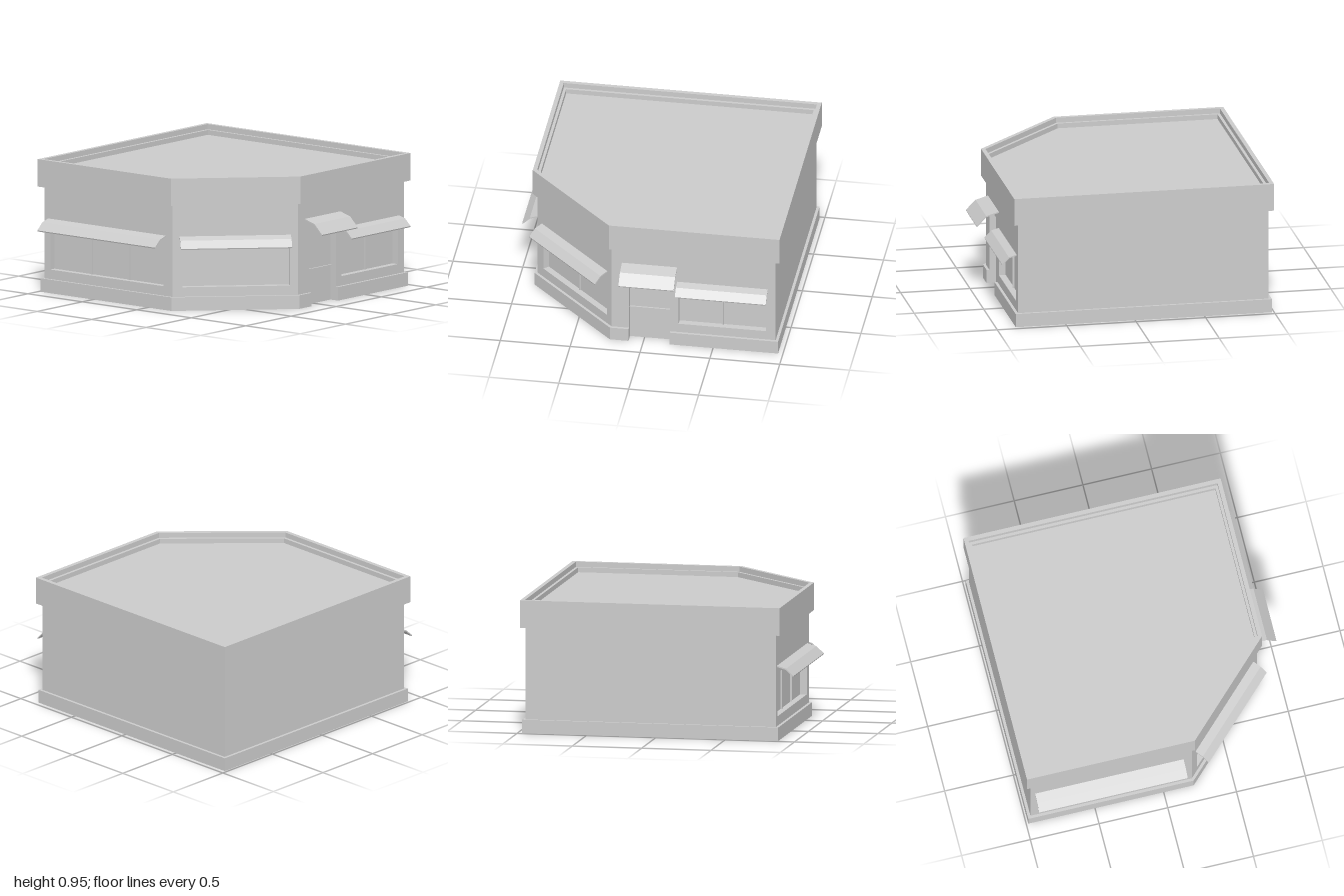
import * as THREE from 'three';

const material = new THREE.MeshStandardMaterial({ color: 0xcccccc });
const RECESS = 0.05;

function add(parent, name, geometry) {
  const mesh = new THREE.Mesh(geometry, material);
  mesh.name = name;
  parent.add(mesh);
  return mesh;
}

const toPoints = (list) => list.map(([x, y]) => new THREE.Vector2(x, y));

// Floor plan with the front right corner cut off, as [x, z]; grow moves every side outwards
function plan(grow) {
  const x0 = -0.86 - grow, x1 = 0.945 + grow, z0 = -0.965 - grow, z1 = 0.84 + grow;
  const cut = 0.63 + grow * (2 - Math.SQRT2);
  return [[x0, z0], [x1, z0], [x1, z1], [x0 + cut, z1], [x0, z1 - cut]];
}

// Horizontal slab or ring of a plan between two heights
function slab(parent, name, outline, y0, y1, inner) {
  const shape = new THREE.Shape(toPoints(outline));
  if (inner) shape.holes.push(new THREE.Path(toPoints(inner)));
  const geometry = new THREE.ExtrudeGeometry(shape, { depth: y1 - y0, bevelEnabled: false });
  geometry.rotateX(Math.PI / 2).translate(0, y1, 0);
  return add(parent, name, geometry);
}

function box(parent, name, x0, x1, y0, y1, z0, z1) {
  const geometry = new THREE.BoxGeometry(x1 - x0, y1 - y0, z1 - z0);
  return add(parent, name, geometry.translate((x0 + x1) / 2, (y0 + y1) / 2, (z0 + z1) / 2));
}

// Bent sheet awning; profile gives [distance from wall, height]
function awning(parent, name, x0, x1, profile) {
  const under = profile.map(([z, y]) => [z - 0.003, y - 0.008]).reverse();
  const shape = new THREE.Shape(toPoints([...profile, ...under]));
  const geometry = new THREE.ExtrudeGeometry(shape, { depth: x1 - x0, bevelEnabled: false });
  add(parent, name, geometry.rotateY(-Math.PI / 2).translate(x1, 0, 0));
}

// Recessed pane with thin glazing bars
function glazing(parent, { x0, x1, y0, y1, panes }) {
  box(parent, 'windowPane', x0 - 0.01, x1 + 0.01, y0 - 0.01, y1 + 0.01, -RECESS - 0.02, -RECESS + 0.002);
  for (let i = 1; i < panes; i++) {
    const x = x0 + (x1 - x0) * i / panes;
    box(parent, 'glazingBar', x - 0.004, x + 0.004, y0, y1, -RECESS, -RECESS + 0.014);
  }
}

// Wall panel in its own frame: x along the wall, z outwards
function wall(parent, name, x, z, angle, length, window, door) {
  const group = new THREE.Group();
  group.name = name;
  group.position.set(x, 0, z);
  group.rotation.y = angle;
  parent.add(group);
  const h = length / 2, bottom = 0.08, top = 0.78;
  const outline = [[-h, bottom]];
  if (door) outline.push([door.x0, bottom], [door.x0, door.y1], [door.x1, door.y1], [door.x1, bottom]);
  outline.push([h, bottom], [h, top], [-h, top]);
  const shape = new THREE.Shape(toPoints(outline));
  if (window) {
    const { x0, x1, y0, y1 } = window;
    shape.holes.push(new THREE.Path(toPoints([[x0, y0], [x0, y1], [x1, y1], [x1, y0]])));
    glazing(group, window);
  }
  const geometry = new THREE.ExtrudeGeometry(shape, { depth: RECESS, bevelEnabled: false });
  add(group, name + 'Panel', geometry.translate(0, 0, -RECESS));
  return group;
}

export function createModel() {
  const model = new THREE.Group();
  model.name = 'cornerShop';

  // Plinth, interrupted at the doorway
  const base = plan(0.02);
  const doorStep = 0.84 - RECESS;
  base.splice(3, 0, [0.19, 0.86], [0.19, doorStep], [-0.105, doorStep], [-0.105, 0.86]);
  slab(model, 'plinth', base, 0, 0.097);

  // Plain walls
  wall(model, 'backWall', 0.0425, -0.965, Math.PI, 1.805);
  wall(model, 'leftWall', 0.945, -0.0625, Math.PI / 2, 1.805);

  // Front wall with door and window
  const door = { x0: -0.4625, x1: -0.1675, y1: 0.56 };
  const front = wall(model, 'frontWall', 0.3575, 0.84, 0, 1.175,
    { x0: -0.1075, x1: 0.5175, y0: 0.165, y1: 0.475, panes: 2 }, door);
  box(front, 'door', door.x0 - 0.01, door.x1 + 0.01, 0, door.y1 + 0.01, -RECESS - 0.02, -RECESS + 0.002);
  box(front, 'doorRail', door.x0, door.x1, 0.246, 0.254, -RECESS, -RECESS + 0.014);
  awning(front, 'doorAwning', -0.5125, -0.1175, [[0, 0.632], [0.09, 0.605], [0.16, 0.535]]);
  awning(front, 'frontAwning', -0.1175, 0.5325, [[0, 0.513], [0.055, 0.497], [0.105, 0.448]]);

  // Angled corner wall and side wall, each with a window under an awning
  const sideProfile = [[0, 0.53], [0.065, 0.51], [0.12, 0.46]];
  const corner = wall(model, 'cornerWall', -0.545, 0.525, -Math.PI / 4, 0.63 * Math.SQRT2,
    { x0: -0.375, x1: 0.389, y0: 0.165, y1: 0.475, panes: 2 });
  awning(corner, 'cornerAwning', -0.395, 0.395, sideProfile.map(([z, y]) => [z * 0.92, y]));
  const side = wall(model, 'rightWall', -0.86, -0.3775, -Math.PI / 2, 1.175,
    { x0: -0.5325, x1: 0.5075, y0: 0.165, y1: 0.475, panes: 3 });
  awning(side, 'sideAwning', -0.5525, 0.5275, sideProfile);

  // Parapet band with an inner ledge around the flat roof
  slab(model, 'parapet', plan(0.033), 0.755, 0.952, plan(0.003));
  slab(model, 'parapetLedge', plan(0.004), 0.77, 0.915, plan(-0.017));
  slab(model, 'roof', plan(-0.016), 0.79, 0.88);
  return model;
}
